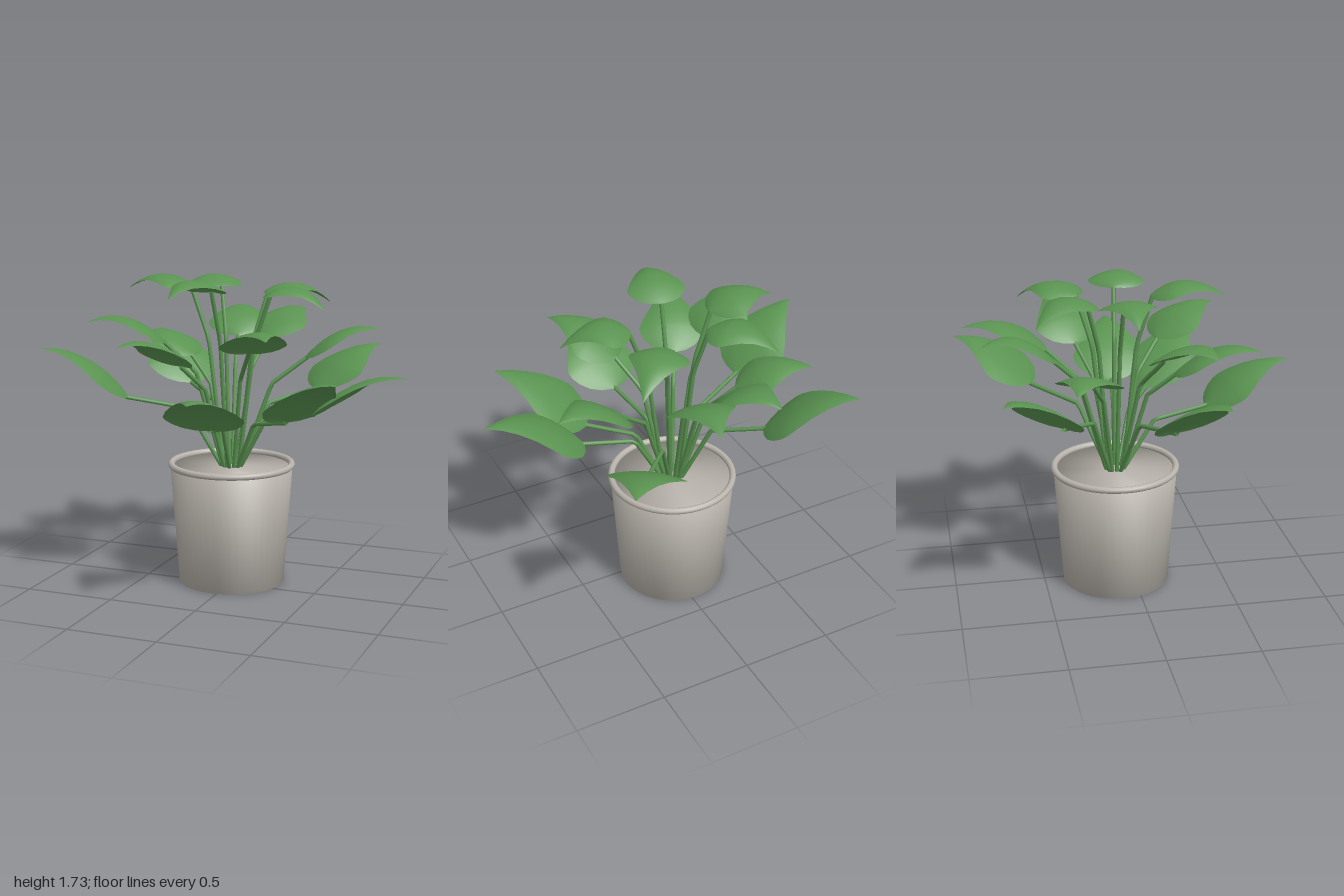
import * as THREE from 'three';

const CX = -0.025, CZ = -0.095, SOIL = 0.66;

// Each leaf: base x,y,z then tip x,y,z
const outerLeaves = [
  [0.06, 0.965, 0.43, 0.135, 1.185, 0.917],
  [0.47, 1.0, -0.03, 1.0, 1.23, 0.022],
  [0.37, 0.98, 0.15, 0.757, 1.25, 0.485],
  [0.33, 1.06, -0.51, 0.61, 1.273, -0.92],
  [-0.4, 1.06, -0.42, -0.76, 1.327, -0.757],
  [-0.55, 1.055, 0.13, -1.0, 1.327, 0.307],
];
const middleLeaves = [
  [0.35, 1.275, -0.25, 0.757, 1.425, -0.378],
  [0.05, 1.35, -0.45, 0.136, 1.465, -0.893],
  [-0.12, 1.35, -0.44, -0.24, 1.465, -0.822],
  [-0.32, 1.25, -0.25, -0.707, 1.335, -0.392],
  [-0.33, 1.37, 0.1, -0.707, 1.484, 0.312],
  [-0.19, 1.255, 0.2, -0.374, 1.4, 0.627],
  [0.17, 1.34, 0.17, 0.406, 1.46, 0.545],
];
const topLeaves = [
  [-0.24, 1.645, -0.085, -0.632, 1.64, -0.075],
  [-0.14, 1.65, -0.25, -0.39, 1.595, -0.553],
  [0.11, 1.62, -0.27, 0.39, 1.55, -0.57],
  [0.2, 1.63, -0.06, 0.552, 1.57, 0.045],
  [-0.06, 1.65, 0.09, -0.148, 1.643, 0.485],
];

// Spade outline: half width along the leaf, from base to tip
const outline = [[0, 0.05], [0.04, 0.38], [0.1, 0.66], [0.18, 0.87], [0.26, 0.98], [0.32, 1],
  [0.43, 0.86], [0.56, 0.64], [0.7, 0.42], [0.84, 0.22], [0.94, 0.09], [1, 0.015]];

// Arched leaf whose edges droop away from the midrib
function leafGeometry(base, tip, halfWidth) {
  const cols = 8, pos = [], index = [];
  const dir = tip.clone().sub(base).setY(0).normalize();
  const side = new THREE.Vector3(dir.z, 0, -dir.x);
  outline.forEach(([t, w], i) => {
    const mid = base.clone().lerp(tip, t);
    mid.y += 0.32 * t * (1 - t);
    for (let j = 0; j <= cols; j++) {
      const s = (j / cols) * 2 - 1;
      const p = mid.clone().addScaledVector(side, s * w * halfWidth);
      p.y -= 0.045 * s * s * w;
      pos.push(p.x, p.y, p.z);
      if (i > 0 && j < cols) {
        const a = (i - 1) * (cols + 1) + j, b = a + cols + 1;
        index.push(a, a + 1, b, b, a + 1, b + 1);
      }
    }
  });
  const g = new THREE.BufferGeometry();
  g.setAttribute('position', new THREE.Float32BufferAttribute(pos, 3));
  g.setIndex(index);
  g.computeVertexNormals();
  return g;
}

// Stem rises from the soil, kinks outward and meets the leaf base
function stemGeometry(base, reach, rise) {
  const out = new THREE.Vector3(base.x - CX, 0, base.z - CZ).normalize();
  const foot = new THREE.Vector3(CX, SOIL - 0.02, CZ).addScaledVector(out, 0.045);
  const bend = new THREE.Vector3(
    THREE.MathUtils.lerp(CX, base.x, reach),
    THREE.MathUtils.lerp(SOIL, base.y, rise),
    THREE.MathUtils.lerp(CZ, base.z, reach));
  const end = base.clone().addScaledVector(out, 0.015);
  const path = new THREE.CurvePath();
  path.add(new THREE.LineCurve3(foot, bend));
  path.add(new THREE.LineCurve3(bend, end));
  return new THREE.TubeGeometry(path, 16, 0.012, 8, false);
}

export function createModel() {
  const green = new THREE.MeshStandardMaterial({ color: 0x5a9351, side: THREE.DoubleSide });
  green.name = 'leafGreen';
  const grey = new THREE.MeshStandardMaterial({ color: 0xb8b3ab });
  grey.name = 'potGrey';

  const model = new THREE.Group();
  model.name = 'pottedPlant';
  const add = (parent, name, geometry, material) => {
    const mesh = new THREE.Mesh(geometry, material);
    mesh.name = name;
    parent.add(mesh);
  };

  // Tapered pot, softly shaded over its edges, with a rolled rim and a filled top
  const pot = new THREE.Group();
  pot.name = 'pot';
  pot.position.set(CX, 0, CZ);
  model.add(pot);
  const profile = [[0, 0], [0.296, 0], [0.342, SOIL], [0, SOIL]].map(([r, y]) => new THREE.Vector2(r, y));
  add(pot, 'potBody', new THREE.LatheGeometry(profile, 48), grey);
  add(pot, 'potRim', new THREE.TorusGeometry(0.337, 0.018, 12, 48).rotateX(Math.PI / 2).translate(0, 0.672, 0), grey);

  // Three tiers of leaves on stems
  const tier = (name, leaves, halfWidth, reach, rise) => {
    const group = new THREE.Group();
    group.name = name;
    model.add(group);
    for (const [bx, by, bz, tx, ty, tz] of leaves) {
      const base = new THREE.Vector3(bx, by, bz), tip = new THREE.Vector3(tx, ty, tz);
      add(group, 'leaf', leafGeometry(base, tip, halfWidth), green);
      add(group, 'stem', stemGeometry(base, reach, rise), green);
    }
  };
  tier('outerLeaves', outerLeaves, 0.212, 0.43, 0.84);
  tier('middleLeaves', middleLeaves, 0.18, 0.55, 0.76);
  tier('topLeaves', topLeaves, 0.157, 0.62, 0.72);
  return model;
}
